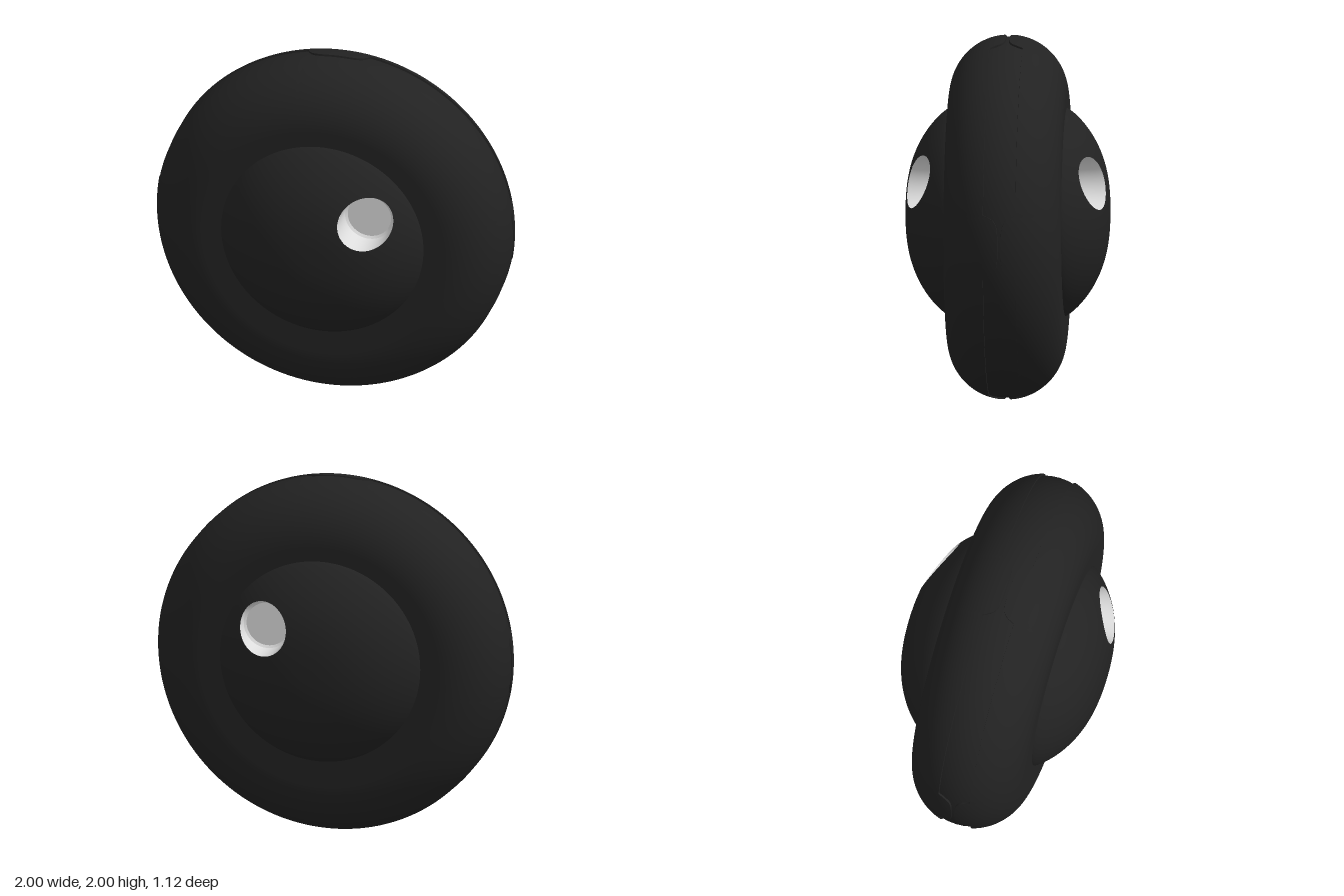
import * as THREE from 'three';

const rubber = new THREE.MeshStandardMaterial({ color: 0x222222 });
rubber.name = 'black rubber';
const pale = new THREE.MeshStandardMaterial({ color: 0xdcdcdc });
pale.name = 'pale grey';

const TAU = Math.PI * 2;
const TUBE = 0.32, RING = 0.68;              // tyre section radius and ring radius
const DOME_Y = 1.03, DOME_R = 0.57;          // hub dome
const HOLE_X = 0.28, HOLE_Y = 1.24, HOLE_R = 0.145, FLOOR_Z = 0.4;

// Closed band: point(angle, j) gives [x, y, z]; side -1 mirrors it to the back
function band(name, material, nu, nv, side, point) {
  const pos = [], index = [];
  for (let j = 0; j <= nv; j++) {
    for (let i = 0; i < nu; i++) {
      const [x, y, z] = point((i / nu) * TAU, j);
      pos.push(x, y, z * side);
    }
  }
  for (let j = 0; j < nv; j++) {
    for (let i = 0; i < nu; i++) {
      const a = j * nu + i, b = j * nu + (i + 1) % nu, c = a + nu, d = b + nu;
      if (side > 0) index.push(a, c, b, b, c, d);
      else index.push(a, b, c, b, d, c);
    }
  }
  const g = new THREE.BufferGeometry();
  g.setAttribute('position', new THREE.Float32BufferAttribute(pos, 3));
  g.setIndex(index);
  g.computeVertexNormals();
  const mesh = new THREE.Mesh(g, material);
  mesh.name = name;
  return mesh;
}

// Where a side shell ends: four rounded tabs reach in towards the middle
function shellEdge(angle) {
  const quarter = Math.PI / 2;
  const t = Math.abs(angle - Math.round(angle / quarter) * quarter) / 0.17;
  return t < 1 ? 0.09 - 0.08 * Math.pow(1 - t ** 4, 0.4) : 0.09;
}

function ringPoint(angle, r, z) {
  return [Math.cos(angle) * r, 1 + Math.sin(angle) * r, z];
}

// Height of the dome over any x, y
function domeZ(x, y) {
  const k = Math.min(1, Math.hypot(x, y - DOME_Y) / DOME_R);
  return 0.32 + 0.24 * Math.pow(1 - Math.pow(k, 2.5), 0.83);
}

// Dome grid runs from the hole's rim out to the dome's edge
function domePoint(angle, j, n) {
  const c = Math.cos(angle), s = Math.sin(angle);
  const ox = HOLE_X, oy = HOLE_Y - DOME_Y;
  const along = ox * c + oy * s;
  const far = -along + Math.sqrt(along * along - ox * ox - oy * oy + DOME_R * DOME_R);
  const d = HOLE_R + (far - HOLE_R) * Math.sin((j / n) * Math.PI / 2);
  const x = HOLE_X + c * d, y = HOLE_Y + s * d;
  return [x, y, domeZ(x, y)];
}

function holePoint(angle, r, z) {
  return [HOLE_X + Math.cos(angle) * r, HOLE_Y + Math.sin(angle) * r, z];
}

export function createModel() {
  const model = new THREE.Group();
  model.name = 'wheel';

  // Centre tread, slightly lower than the side shells
  const tread = new THREE.Mesh(new THREE.TorusGeometry(RING, TUBE - 0.01, 48, 160), rubber);
  tread.name = 'centreTread';
  tread.position.y = 1;
  model.add(tread);

  for (const side of [1, -1]) {
    const half = new THREE.Group();
    half.name = side > 0 ? 'frontHalf' : 'backHalf';

    // Side shell: flat wall, then a round shoulder up to the tabbed edge
    const steps = 24;
    half.add(band('tyreShell', rubber, 384, steps + 1, side, (angle, j) => {
      if (j === 0) return ringPoint(angle, 0.4, TUBE);
      const a = ((j - 1) / steps) * Math.acos(shellEdge(angle) / TUBE);
      return ringPoint(angle, RING + TUBE * Math.sin(a), TUBE * Math.cos(a));
    }));

    // Thin lip that closes the shell's edge
    half.add(band('shellLip', rubber, 384, 1, side, (angle, j) => {
      const e = shellEdge(angle), a = Math.acos(e / TUBE);
      return ringPoint(angle, RING + TUBE * Math.sin(a) - 0.02 * j, e - 0.003 * j);
    }));

    // Hub dome with its round opening
    half.add(band('hubDome', rubber, 128, 40, side, (angle, j) => domePoint(angle, j, 40)));

    // Pale cup set in the opening
    half.add(band('cupWall', pale, 64, 4, side, (angle, j) => {
      const [x, y] = holePoint(angle, HOLE_R, 0);
      const z = FLOOR_Z - 0.01 + (domeZ(x, y) - FLOOR_Z + 0.01) * (j / 4);
      return holePoint(angle, HOLE_R - 0.01 * (1 - j / 4), z);
    }));
    half.add(band('cupStep', pale, 64, 1, side, (angle, j) =>
      holePoint(angle, 0.122 + 0.013 * j, FLOOR_Z - 0.02 + 0.01 * j)));
    half.add(band('cupFloor', pale, 64, 1, side, (angle, j) =>
      holePoint(angle, 0.122 * j, FLOOR_Z - 0.02)));

    model.add(half);
  }
  return model;
}
